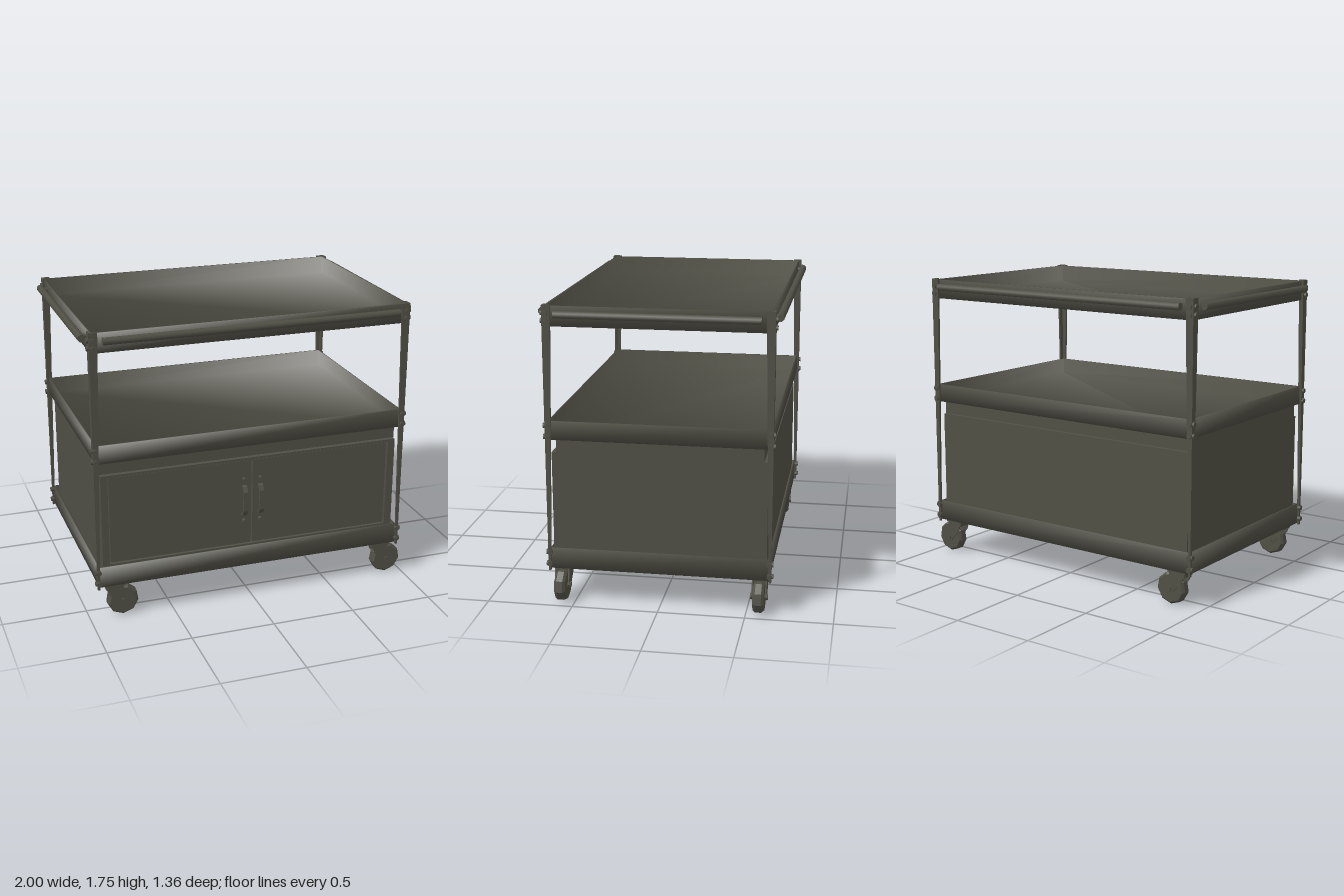
import * as THREE from 'three';

const olive = new THREE.MeshStandardMaterial({ color: 0x504f45 });
olive.name = 'dark olive metal';

function add(parent, name, geometry, x = 0, y = 0, z = 0) {
  const mesh = new THREE.Mesh(geometry, olive);
  mesh.name = name;
  mesh.position.set(x, y, z);
  parent.add(mesh);
  return mesh;
}

const box = (w, h, d) => new THREE.BoxGeometry(w, h, d);
const points = (list) => list.map(([x, y]) => new THREE.Vector2(x, y));

// Deep open pan with softly shaded edges, lofted from four rectangles
function panGeometry(w, d, bottom, top) {
  const wall = 0.01;
  // inset, height, outward and upward lean of the normal
  const loops = [
    [0, bottom, 1, -1.8], [0, top, 1, 1], [wall, top, -1, 1], [wall, bottom + 0.012, -1, 1],
  ];
  const corners = [[1, 1], [1, -1], [-1, -1], [-1, 1]];
  const position = [], normal = [], index = [0, 2, 1, 0, 3, 2, 12, 13, 14, 12, 14, 15];
  loops.forEach(([inset, y, out, up], i) => {
    corners.forEach(([sx, sz], c) => {
      position.push(sx * (w / 2 - inset), y, sz * (d / 2 - inset));
      normal.push(...new THREE.Vector3(sx * out, up, sz * out).normalize().toArray());
      if (i < 3) {
        const a = i * 4 + c, b = i * 4 + (c + 1) % 4;
        index.push(a, b, b + 4, a, b + 4, a + 4);
      }
    });
  });
  const g = new THREE.BufferGeometry();
  g.setAttribute('position', new THREE.Float32BufferAttribute(position, 3));
  g.setAttribute('normal', new THREE.Float32BufferAttribute(normal, 3));
  return g.setIndex(index);
}

// Cylinder lying along x or z, flat sides facing out
function rod(radius, length, axis) {
  const g = new THREE.CylinderGeometry(radius, radius, length, 8).rotateY(Math.PI / 8);
  return axis === 'x' ? g.rotateZ(Math.PI / 2) : g.rotateX(Math.PI / 2);
}

// Angle-iron post: both flanges narrow towards the floor
function legGeometry() {
  const t = 0.012, low = 0.2, high = 1.75;
  const shape = new THREE.Shape(points([[0, 0], [0, 1], [-t, 1], [-t, t], [-1, t], [-1, 0]]));
  const g = new THREE.ExtrudeGeometry(shape, { depth: high - low, bevelEnabled: false });
  g.rotateX(-Math.PI / 2).translate(0, low, 0);
  const p = g.attributes.position;
  for (let i = 0; i < p.count; i++) {
    const width = THREE.MathUtils.mapLinear(p.getY(i), low, high, 0.014, 0.05);
    if (p.getX(i) < -0.5) p.setX(i, -width);
    if (p.getZ(i) < -0.5) p.setZ(i, -width);
  }
  g.computeVertexNormals();
  return g;
}

// Swivel caster, trailing towards +x
function makeCaster() {
  const caster = new THREE.Group();
  caster.name = 'caster';
  add(caster, 'casterPlate', box(0.12, 0.012, 0.1), 0, 0.205, 0);
  add(caster, 'forkBridge', box(0.1, 0.03, 0.086), 0, 0.19, 0);
  const side = new THREE.Shape(points([
    [-0.05, 0.2], [-0.03, 0.14], [0.03, 0.075], [0.06, 0.075], [0.075, 0.1], [0.05, 0.2],
  ]));
  for (const s of [-1, 1]) {
    const g = new THREE.ExtrudeGeometry(side, { depth: 0.008, bevelEnabled: false });
    add(caster, 'forkSide', g, 0, 0, s * 0.039 - 0.004);
  }
  const tread = [[0, -0.032], [0.082, -0.032], [0.095, -0.018], [0.095, 0.018], [0.082, 0.032], [0, 0.032]];
  const wheel = new THREE.LatheGeometry(points(tread), 9).toNonIndexed();
  wheel.computeVertexNormals();
  add(caster, 'wheel', wheel.rotateX(Math.PI / 2), 0.052, 0.094, 0);
  add(caster, 'axle', rod(0.018, 0.1, 'z'), 0.052, 0.094, 0);
  return caster;
}

// Bowed pull handle with a screw above and below
function makeHandle(x) {
  const handle = new THREE.Group();
  handle.name = 'doorHandle';
  const bow = new THREE.Shape(points([
    [0, 0.535], [0.02, 0.54], [0.036, 0.57], [0.036, 0.69], [0.02, 0.72], [0, 0.725],
    [0, 0.71], [0.014, 0.705], [0.026, 0.685], [0.026, 0.575], [0.014, 0.555], [0, 0.55],
  ]));
  const g = new THREE.ExtrudeGeometry(bow, { depth: 0.028, bevelEnabled: false });
  g.translate(0, 0, -0.014).rotateY(-Math.PI / 2);
  add(handle, 'handleBar', g);
  for (const y of [0.5, 0.765]) add(handle, 'handleScrew', rod(0.012, 0.024, 'z'), 0, y, 0.01);
  handle.position.set(x, 0, 0.609);
  return handle;
}

export function createModel() {
  const cart = new THREE.Group();
  cart.name = 'utilityCart';

  // Three open trays
  add(cart, 'bottomTray', panGeometry(1.89, 1.26, 0.21, 0.335));
  add(cart, 'middleTray', panGeometry(1.88, 1.26, 0.98, 1.09));
  add(cart, 'topTray', panGeometry(1.89, 1.26, 1.63, 1.745));

  // Cabinet standing in the bottom tray
  add(cart, 'cabinetBody', box(1.83, 0.675, 1.2), 0, 0.5625, -0.013);
  add(cart, 'cabinetNeck', box(1.84, 0.085, 1.18), 0, 0.9425, 0);
  const frame = new THREE.Shape(points([[-0.915, 0.225], [0.915, 0.225], [0.915, 0.9], [-0.915, 0.9]]));
  frame.holes.push(new THREE.Path(points([[-0.875, 0.345], [-0.875, 0.885], [0.87, 0.885], [0.87, 0.345]])));
  add(cart, 'cabinetFrame', new THREE.ExtrudeGeometry(frame, { depth: 0.032, bevelEnabled: false }), 0, 0, 0.586);
  for (const s of [-1, 1]) {
    add(cart, 'cabinetDoor', box(0.86, 0.53, 0.024), s * 0.435 - 0.002, 0.615, 0.597);
    cart.add(makeHandle(s * 0.05));
  }

  // Corner posts with bolts, turned a quarter for each corner
  const post = legGeometry();
  const bolts = [[1.705, 0.022], [1.66, 0.022], [1.065, 0.014], [1.0, 0.014], [0.31, 0.01], [0.24, 0.01]];
  for (let i = 0; i < 4; i++) {
    const leg = new THREE.Group();
    leg.name = 'cornerPost';
    add(leg, 'postAngle', post);
    for (const [y, inset] of bolts) {
      add(leg, 'bolt', rod(0.015, 0.022, 'z'), -inset, y, 0);
      add(leg, 'bolt', rod(0.015, 0.022, 'x'), 0, y, -inset);
    }
    leg.rotation.y = i * Math.PI / 2;
    leg.position.set(i < 2 ? 0.957 : -0.957, 0, i === 0 || i === 3 ? 0.643 : -0.643);
    cart.add(leg);
  }

  // Grab rails around the top tray, on short studs
  for (const s of [-1, 1]) {
    add(cart, 'longRail', rod(0.0215, 1.77, 'x'), 0, 1.703, s * 0.66);
    add(cart, 'shortRail', rod(0.0215, 1.14, 'z'), s * 0.98, 1.703, 0);
    for (const e of [-1, 1]) {
      add(cart, 'railStud', rod(0.012, 0.03, 'z'), e * 0.84, 1.703, s * 0.64);
      add(cart, 'railStud', rod(0.012, 0.03, 'x'), s * 0.955, 1.703, e * 0.52);
    }
  }

  // Casters
  for (const x of [-0.85, 0.85]) {
    for (const z of [-0.572, 0.577]) {
      const caster = makeCaster();
      caster.position.set(x, 0, z);
      cart.add(caster);
    }
  }
  return cart;
}
